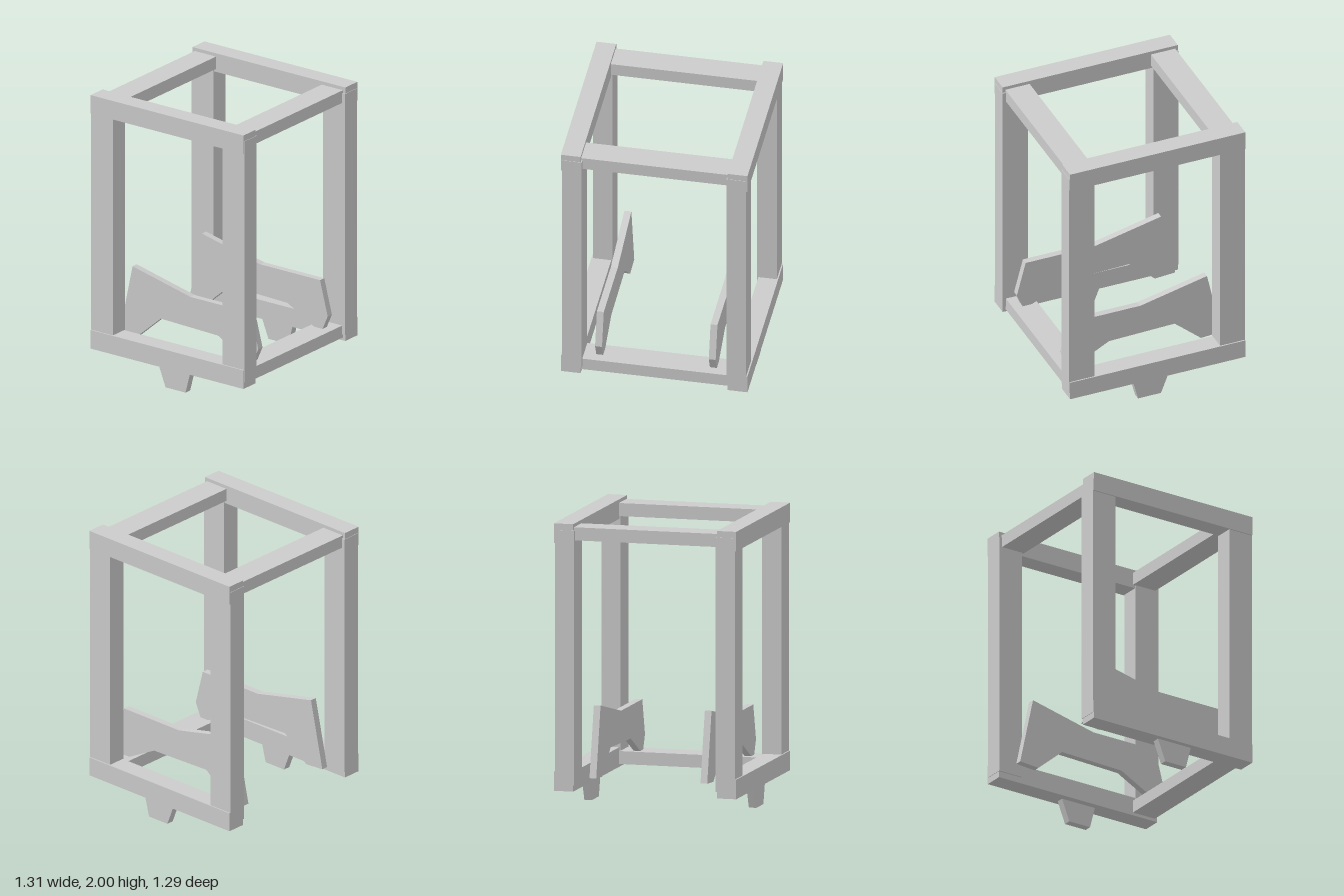
import * as THREE from 'three';

const material = new THREE.MeshStandardMaterial({ color: 0xcccccc, flatShading: true });

export function createModel() {
  const group = new THREE.Group();

  // Box given by its extents on each axis
  const bar = (name, [x0, x1], [y0, y1], [z0, z1]) => {
    const mesh = new THREE.Mesh(new THREE.BoxGeometry(x1 - x0, y1 - y0, z1 - z0), material);
    mesh.position.set((x0 + x1) / 2, (y0 + y1) / 2, (z0 + z1) / 2);
    mesh.name = name;
    group.add(mesh);
  };

  // Flat board with an outline in x, y and a thickness centred on z
  const board = (name, outline, thickness, z) => {
    const shape = new THREE.Shape(outline.map(([x, y]) => new THREE.Vector2(x, y)));
    const geometry = new THREE.ExtrudeGeometry(shape, { depth: thickness, bevelEnabled: false });
    geometry.translate(0, 0, -thickness / 2);
    const mesh = new THREE.Mesh(geometry, material);
    mesh.position.z = z;
    mesh.name = name;
    group.add(mesh);
  };

  const span = (a, b, side) => (side > 0 ? [a, b] : [-b, -a]);

  const cradle = [
    [-0.57, 0.24], [-0.42, 0.23], [-0.225, 0.4], [0.262, 0.387], [0.52, 0.25],
    [0.555, 0.25], [0.605, 0.365], [0.54, 0.615], [0.03, 0.615], [-0.465, 0.727],
  ];
  const foot = [[-0.04, 0], [0.13, 0], [0.17, 0.155], [-0.1, 0.155]];

  for (const [end, side] of [['front', 1], ['back', -1]]) {
    // Cross rails along x
    bar(end + 'TopRail', [-0.65, 0.65], [1.865, 2], span(0.51, 0.647, side));
    bar(end + 'BottomRail', [-0.65, 0.65], [0.155, 0.29], span(0.51, 0.647, side));

    // Corner posts, slightly proud of the rail ends
    bar(end + 'LeftPost', [0.467, 0.653], [0.2, 1.955], span(0.502, 0.638, side));
    bar(end + 'RightPost', [-0.653, -0.467], [0.2, 1.955], span(0.502, 0.638, side));

    // Shaped cradle board and tapered foot
    board(end + 'Cradle', cradle, 0.048, side * 0.394);
    board(end + 'Foot', foot, 0.053, side * 0.584);
  }

  // Side rails along z; the lower one exists on one side only
  for (const side of [1, -1]) {
    bar(side > 0 ? 'leftTopRail' : 'rightTopRail', span(0.45, 0.63, side), [1.886, 1.976], [-0.51, 0.51]);
  }
  bar('leftBottomRail', [0.45, 0.63], [0.176, 0.265], [-0.51, 0.51]);

  return group;
}
